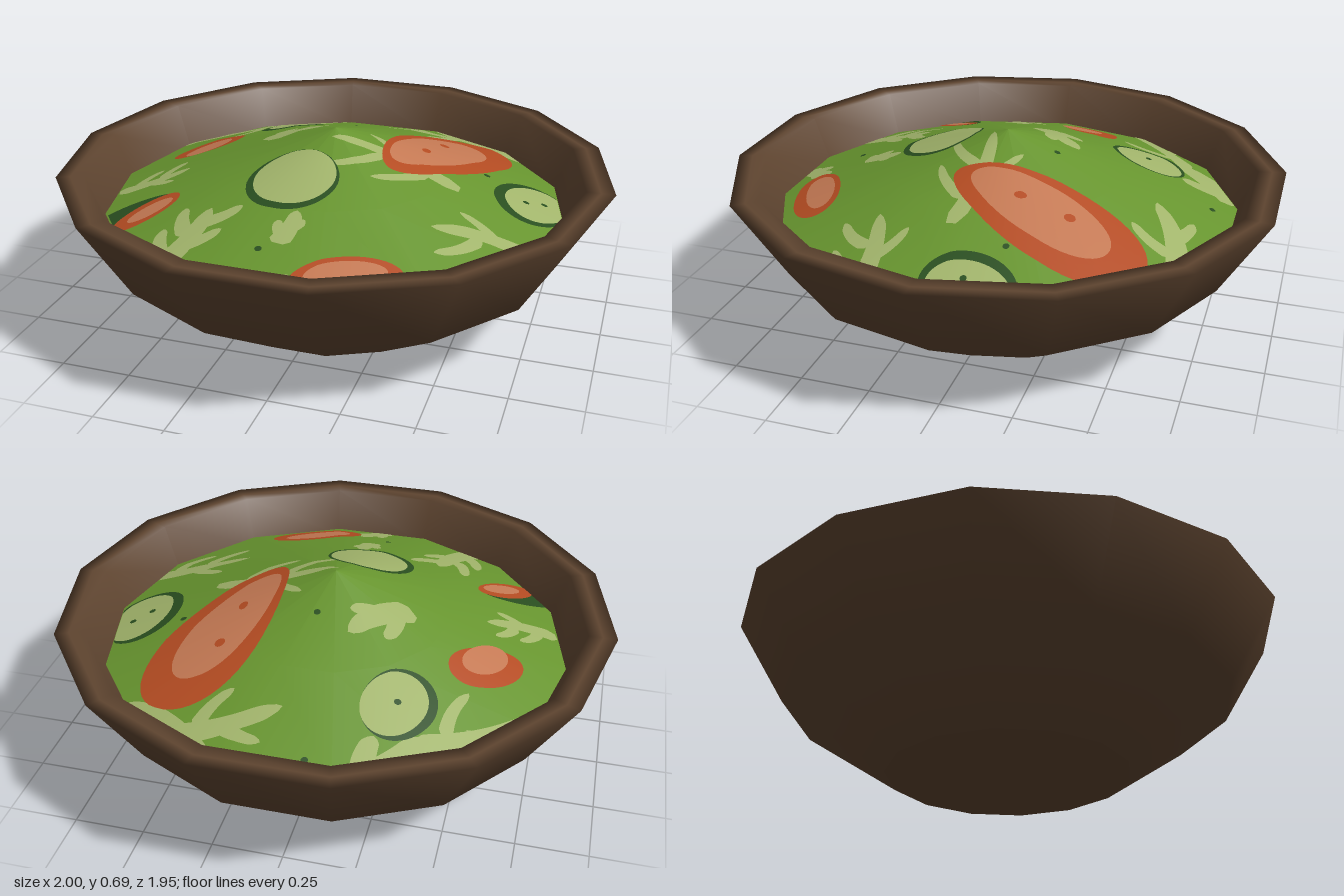
import * as THREE from 'three';
import { mergeGeometries } from 'three/addons/utils/BufferGeometryUtils.js';

const SIDES = 14, STEP = Math.PI * 2 / SIDES;
const EDGE_R = 0.84, EDGE_Y = 0.398, PEAK_Y = 0.685;
const SLOPE = (PEAK_Y - EDGE_Y) / EDGE_R;

const material = (name, color, extra = {}) => {
  const m = new THREE.MeshStandardMaterial({ color, ...extra });
  m.name = name;
  return m;
};

// Distance from the middle to the edge of the many-sided mound, 0 to 1
function moundFraction(x, z) {
  const a = Math.atan2(z, x);
  const mid = (Math.floor(a / STEP) + 0.5) * STEP;
  return Math.hypot(x, z) * Math.cos(a - mid) / (EDGE_R * Math.cos(STEP / 2));
}

// Thin sheet lying on the mound, from rows of [x, z] points
function sheet(rows, lift) {
  const pos = [], nor = [], index = [], n = rows[0].length;
  for (const row of rows) for (let [x, z] of row) {
    const f = moundFraction(x, z);
    if (f > 0.995) { x *= 0.995 / f; z *= 0.995 / f; }
    pos.push(x, PEAK_Y - Math.min(f, 0.995) * (PEAK_Y - EDGE_Y) + lift, z);
    const r = Math.hypot(x, z) || 1;
    nor.push(...new THREE.Vector3(x / r * SLOPE, 1, z / r * SLOPE).normalize().toArray());
  }
  const tri = (a, b, c) => {
    const X = i => pos[i * 3], Z = i => pos[i * 3 + 2];
    const up = (Z(b) - Z(a)) * (X(c) - X(a)) - (X(b) - X(a)) * (Z(c) - Z(a));
    if (Math.abs(up) > 1e-9) index.push(...(up > 0 ? [a, b, c] : [a, c, b]));
  };
  for (let i = 0; i < rows.length - 1; i++) for (let j = 0; j < n - 1; j++) {
    const a = i * n + j;
    tri(a, a + 1, a + n);
    tri(a + 1, a + n + 1, a + n);
  }
  const g = new THREE.BufferGeometry();
  g.setAttribute('position', new THREE.Float32BufferAttribute(pos, 3));
  g.setAttribute('normal', new THREE.Float32BufferAttribute(nor, 3));
  g.setIndex(index);
  return g;
}

// Egg-shaped slice: half sizes, turn about y, and narrowing of one end
function egg(lift, x, z, rx, rz, turn = 0, taper = 0) {
  const rows = [], c = Math.cos(turn), s = Math.sin(turn);
  for (let i = 0; i <= 10; i++) {
    const row = [];
    for (let j = 0; j <= 48; j++) {
      const a = j / 48 * Math.PI * 2;
      const u = rx * Math.cos(a) * (1 - taper * Math.sin(a)) * i / 10;
      const v = rz * Math.sin(a) * i / 10;
      row.push([x + u * c - v * s, z + u * s + v * c]);
    }
    rows.push(row);
  }
  return sheet(rows, lift);
}

// Tapering, slightly bent leaf vein
function frond(x0, z0, x1, z1, width, bend) {
  const dx = x1 - x0, dz = z1 - z0, len = Math.hypot(dx, dz), rows = [];
  for (let i = 0; i <= 20; i++) {
    const t = i / 20, b = bend * Math.sin(t * Math.PI);
    const w = width / 2 * (1 - 0.45 * t) * Math.min(1, Math.sqrt((1 - t) * 6), 0.5 + t * 5);
    rows.push([-1, -0.5, 0, 0.5, 1].map(k => [
      x0 + dx * t - dz * b - dz / len * w * k,
      z0 + dz * t + dx * b + dx / len * w * k]));
  }
  return sheet(rows, 0.002);
}

// Leaf: a main vein with forked side lobes
function leaf(x0, z0, x1, z1, width, lobes) {
  const dx = x1 - x0, dz = z1 - z0, parts = [frond(x0, z0, x1, z1, width, 0.06)];
  for (let i = 0; i < lobes; i++) {
    const t = 0.25 + 0.17 * i, side = i % 2 ? 1 : -1;
    const x = x0 + dx * t, z = z0 + dz * t;
    const ex = 0.36 * dx - side * 0.3 * dz, ez = 0.36 * dz + side * 0.3 * dx;
    parts.push(frond(x, z, x + ex, z + ez, width * 0.65, side * 0.08));
  }
  return mergeGeometries(parts);
}

export function createModel() {
  const model = new THREE.Group();
  const brown = material('bowl brown', 0x5f4530, { side: THREE.DoubleSide });
  const green = material('salad green', 0x68962f);
  const pale = material('pale green', 0xa3b66c);
  const dark = material('dark green', 0x2a4f20);
  const red = material('tomato red', 0xb54c22);
  const salmon = material('tomato flesh', 0xc67a54);
  const add = (name, geo, mat) => {
    const m = new THREE.Mesh(geo, mat);
    m.name = name;
    model.add(m);
  };
  const lathe = pts => new THREE.LatheGeometry(
    pts.map(p => new THREE.Vector2(...p)), SIDES, Math.PI / 2);
  const eggs = (lift, list) => mergeGeometries(list.map(e => egg(lift, ...e)));

  // Bowl: outer wall, flat rim and inner wall
  add('bowl', lathe([[0.445, 0], [0.825, 0.255], [1, 0.55], [0.95, 0.55], [0.9, 0.55], [0.83, 0.372]]), brown);
  add('bowlBase', new THREE.CircleGeometry(0.445, SIDES).rotateX(Math.PI / 2), brown);

  // Salad mound
  add('saladMound', lathe([[EDGE_R, EDGE_Y], [EDGE_R / 2, (EDGE_Y + PEAK_Y) / 2], [0, PEAK_Y]]), green);

  // Pale leaves: base, tip, width, lobes
  add('lettuceLeaves', mergeGeometries([
    [-0.22, -0.82, -0.43, -0.56, 0.15, 1],
    [-0.4, -0.6, -0.76, -0.32, 0.08, 2],
    [0.4, -0.7, 0.04, -0.56, 0.09, 2],
    [-0.29, -0.05, -0.1, -0.24, 0.11, 2],
    [-0.79, 0.19, -0.54, 0.09, 0.07, 3],
    [0.47, 0.05, 0, 0.05, 0.07, 3],
    [0.83, 0.26, 0.43, 0.32, 0.08, 3],
    [-0.41, 0.75, -0.31, 0.42, 0.1, 4],
    [-0.02, 0.57, 0, 0.42, 0.08, 2],
    [-0.03, 0.82, 0.06, 0.69, 0.08, 2],
  ].map(l => leaf(...l))), pale);
  add('lettucePatch', egg(0.002, 0.4, -0.7, 0.07, 0.24, -1), pale);

  // Cucumber slices: dark skin under pale flesh
  add('cucumberSkins', eggs(0.0035, [
    [-0.07, 0.275, 0.163, 0.15],
    [-0.325, -0.46, 0.12, 0.145, 0.4],
    [0.71, -0.09, 0.135, 0.165, 0.2],
    [-0.63, 0.385, 0.06, 0.155, 1.1],
  ]), dark);
  add('cucumberFlesh', eggs(0.006, [
    [-0.065, 0.265, 0.145, 0.135],
    [-0.31, -0.465, 0.105, 0.13, 0.4],
    [0.725, -0.095, 0.11, 0.145, 0.2],
  ]), pale);

  // Tomato slices: red skin under lighter flesh
  add('tomatoSkins', eggs(0.005, [
    [0.353, -0.24, 0.175, 0.375, 0.33, 0.3],
    [-0.575, -0.17, 0.09, 0.145, 0.85, 0.1],
    [0.24, 0.655, 0.085, 0.185, 1.2, 0.1],
    [-0.575, 0.4, 0.06, 0.13, 0.75],
  ]), red);
  add('tomatoFlesh', eggs(0.0075, [
    [0.333, -0.21, 0.115, 0.28, 0.36, 0.2],
    [-0.565, -0.14, 0.06, 0.1, 0.6],
    [0.235, 0.645, 0.053, 0.135, 1.15],
    [-0.56, 0.395, 0.035, 0.085, 0.8],
  ]), salmon);

  // Seeds and herb specks
  add('tomatoSeeds', eggs(0.0095, [
    [0.335, -0.32, 0.018, 0.02], [0.305, -0.14, 0.016, 0.022],
  ]), red);
  add('herbSpecks', eggs(0.008, [
    [0.75, -0.12], [0.69, -0.07], [-0.32, -0.46], [-0.08, -0.74],
    [0.02, -0.19], [-0.07, 0.61], [0.53, -0.16],
  ].map(p => [...p, 0.012, 0.011])), dark);

  return model;
}
